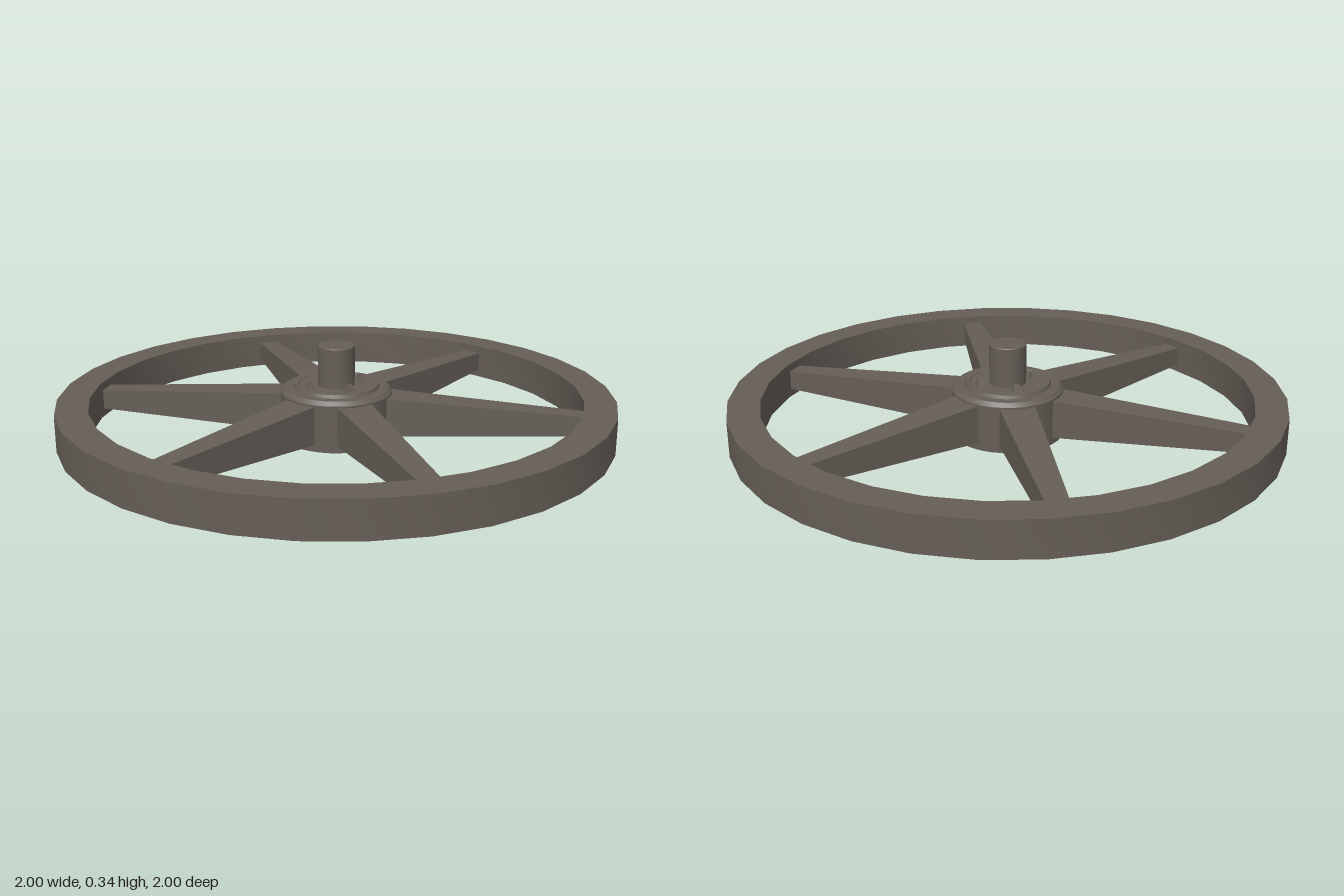
import * as THREE from 'three';
import { toCreasedNormals } from 'three/addons/utils/BufferGeometryUtils.js';

const SEGMENTS = 32;
const MID_Y = 0.095;

// Revolved profile of [radius, height] points with crisp edges
function turned(points) {
  const profile = points.map(([r, y]) => new THREE.Vector2(r, y));
  return toCreasedNormals(new THREE.LatheGeometry(profile, SEGMENTS), 0.45);
}

// Bar along +z, tapering in width and height from hub to rim
function taperedSpoke(r0, r1, w0, w1, h0, h1) {
  const geometry = new THREE.BoxGeometry(1, 1, r1 - r0);
  geometry.translate(0, 0, (r0 + r1) / 2);
  const p = geometry.attributes.position;
  for (let i = 0; i < p.count; i++) {
    const outer = p.getZ(i) > (r0 + r1) / 2;
    p.setX(i, p.getX(i) * (outer ? w1 : w0));
    p.setY(i, p.getY(i) * (outer ? h1 : h0));
  }
  return toCreasedNormals(geometry, 0.3);
}

export function createModel() {
  const wheel = new THREE.Group();
  wheel.name = 'spokedWheel';
  const iron = new THREE.MeshStandardMaterial({ color: 0x665e57 });
  iron.name = 'dark iron';

  const add = (name, geometry, y = 0) => {
    const mesh = new THREE.Mesh(geometry, iron);
    mesh.name = name;
    mesh.position.y = y;
    wheel.add(mesh);
    return mesh;
  };

  // Outer rim
  add('rim', turned([[0.885, 0.03], [1, 0.03], [1, 0.16], [0.885, 0.16], [0.885, 0.03]]));

  // Hub with bevelled shoulder and raised cap
  add('hub', turned([
    [0, 0], [0.203, 0], [0.203, 0.172], [0.19, 0.186],
    [0.157, 0.186], [0.152, 0.198], [0.14, 0.198], [0.135, 0.193], [0, 0.193],
  ]));

  // Axle stub
  add('axle', turned([[0, 0.18], [0.067, 0.18], [0.067, 0.337], [0.064, 0.34], [0, 0.34]]));

  // Six spokes
  const spokeGeometry = taperedSpoke(0.15, 0.895, 0.13, 0.072, 0.145, 0.07);
  for (let i = 0; i < 6; i++) {
    add('spoke', spokeGeometry, MID_Y).rotation.y = i * Math.PI / 3;
  }

  // Four square, tapered bolt heads on the hub cap
  const boltGeometry = new THREE.CylinderGeometry(0.013, 0.026, 0.025, 4).toNonIndexed();
  boltGeometry.computeVertexNormals();
  for (let i = 0; i < 4; i++) {
    const angle = 0.38 + i * Math.PI / 2;
    const bolt = add('bolt', boltGeometry, 0.204);
    bolt.position.x = 0.102 * Math.cos(angle);
    bolt.position.z = 0.102 * Math.sin(angle);
    bolt.rotation.y = Math.PI / 4 - angle;
  }

  return wheel;
}
